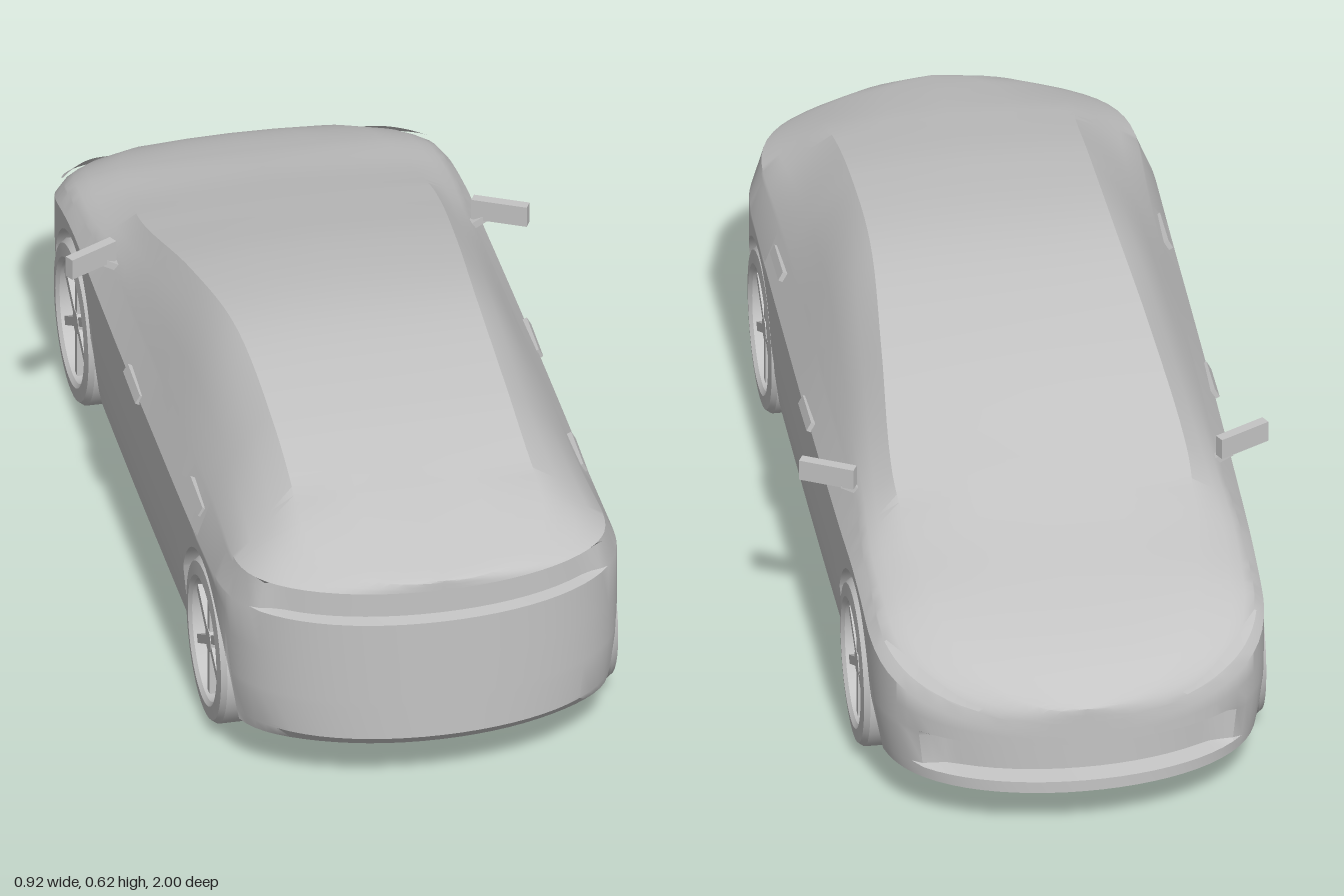
import * as THREE from 'three';
import { toCreasedNormals } from 'three/addons/utils/BufferGeometryUtils.js';

const paint = new THREE.MeshStandardMaterial({ color: 0xc4c4c4 });
paint.name = 'grey paint';
const thinPaint = paint.clone();
thinPaint.name = 'grey thin paint';
thinPaint.side = THREE.DoubleSide;

const WHEELS = [-0.58, 0.62], WHEEL_Y = 0.167, ARCH_R = 0.184, FLOOR = 0.1;
const NOSE = -1, TAIL = 0.995;

// z, centre height, then x,y of roof edge, pillar, belt line and shoulder
const SECTIONS = [
  [-1.0, 0.29, 0.25, 0.285, 0.32, 0.275, 0.37, 0.26, 0.39, 0.24],
  [-0.9, 0.352, 0.25, 0.345, 0.33, 0.33, 0.37, 0.31, 0.39, 0.285],
  [-0.75, 0.405, 0.26, 0.4, 0.325, 0.388, 0.37, 0.368, 0.39, 0.342],
  [-0.58, 0.45, 0.28, 0.437, 0.335, 0.417, 0.37, 0.397, 0.392, 0.37],
  [-0.4, 0.502, 0.29, 0.485, 0.325, 0.452, 0.36, 0.42, 0.395, 0.37],
  [-0.1, 0.58, 0.265, 0.567, 0.302, 0.525, 0.36, 0.432, 0.398, 0.37],
  [0.2, 0.619, 0.24, 0.612, 0.277, 0.582, 0.36, 0.44, 0.399, 0.37],
  [0.5, 0.595, 0.235, 0.587, 0.272, 0.555, 0.36, 0.44, 0.399, 0.37],
  [0.75, 0.545, 0.24, 0.532, 0.29, 0.502, 0.37, 0.442, 0.398, 0.378],
  [0.9, 0.507, 0.26, 0.487, 0.335, 0.468, 0.383, 0.453, 0.395, 0.385],
  [0.995, 0.478, 0.28, 0.474, 0.34, 0.467, 0.38, 0.457, 0.395, 0.385],
];

const lerp = THREE.MathUtils.lerp, smooth = THREE.MathUtils.smoothstep;

// smooth interpolation of one column of the section list
function sample(z, c) {
  const S = SECTIONS;
  let i = 0;
  while (i < S.length - 2 && z > S[i + 1][0]) i++;
  const slope = (a, b) => (S[b][c] - S[a][c]) / (S[b][0] - S[a][0]);
  const h = S[i + 1][0] - S[i][0], t = (z - S[i][0]) / h;
  const m0 = slope(Math.max(i - 1, 0), i + 1) * h;
  const m1 = slope(i, Math.min(i + 2, S.length - 1)) * h;
  const t2 = t * t, t3 = t2 * t;
  return (2 * t3 - 3 * t2 + 1) * S[i][c] + (t3 - 2 * t2 + t) * m0 +
    (3 * t2 - 2 * t3) * S[i + 1][c] + (t3 - t2) * m1;
}

// rounding of the plan towards nose and tail
function taper(z) {
  const t = z < 0 ? (-0.7 - z) / (-0.7 - NOSE) : (z - 0.7) / (TAIL - 0.7);
  return t <= 0 ? 1 : Math.sqrt(Math.max(0, 1 - Math.pow(Math.min(t, 1), 2.8)));
}

// lower edge of the body side, raised over the wheels
function archHeight(z) {
  let y = FLOOR;
  for (const w of WHEELS) {
    const d = ARCH_R ** 2 - (z - w) ** 2;
    if (d > 0) y = Math.max(y, WHEEL_Y + Math.sqrt(d));
  }
  return y;
}

// left half of a cross-section, from floor centre to roof centre
function halfSection(z) {
  const [top, eX, eY, mX, mY, bX, bY, sX, sY] = [1, 2, 3, 4, 5, 6, 7, 8, 9].map(c => sample(z, c));
  const k = taper(z), arch = archHeight(z);
  const intake = 0.04 * smooth(-z, 0.89, 0.95);
  const panel = -0.03 * smooth(z, 0.86, 0.92);
  const tuck = -0.025 * smooth(z, 0.8, 0.97);
  const pts = [];
  const add = (x, y, dz = 0) => pts.push(new THREE.Vector3(x * k, y, z + dz));
  add(0, FLOOR, tuck);
  add(0.262, FLOOR, tuck);
  add(0.262, arch, tuck);
  [[0.1, tuck], [0.125, 0], [0.13, intake], [0.195, intake], [0.21, 0], [(0.21 + sY) / 2, 0]].forEach(([y0, dz]) => {
    const y = arch + (y0 - FLOOR) * (sY - arch) / (sY - FLOOR);
    const inset = Math.max(0, (0.25 - y) / 0.15);
    add(sX - 0.017 * inset * inset, y, dz);
  });
  add(sX, sY);
  add(lerp(sX, bX, 0.04), lerp(sY, bY, 0.04), panel);
  add(lerp(sX, bX, 0.88), lerp(sY, bY, 0.88), panel);
  add(bX, bY);
  add(lerp(bX, mX, 0.5) + 0.004, lerp(bY, mY, 0.5));
  add(mX, mY);
  add(eX, eY);
  add(eX * 0.5, lerp(eY, top, 0.75));
  add(0, top);
  return pts;
}

function stations() {
  const zs = [];
  for (let i = 0; i <= 16; i++) {
    const d = 0.24 * (i / 16) ** 2;
    zs.push(NOSE + d, TAIL - d);
  }
  const half = Math.sqrt(ARCH_R ** 2 - (WHEEL_Y - FLOOR) ** 2);
  for (const w of WHEELS) for (let i = 0; i <= 20; i++) zs.push(w - half * Math.cos(Math.PI * i / 20));
  for (let z = -0.38; z < 0.43; z += 0.05) zs.push(z);
  return zs.sort((a, b) => a - b).filter((z, i, a) => i === 0 || z - a[i - 1] > 1e-5);
}

function bodyGeometry() {
  const rings = stations().map(z => {
    const h = halfSection(z);
    const mirrored = h.slice(1, -1).reverse().map(p => new THREE.Vector3(-p.x, p.y, p.z));
    return [...h, ...mirrored];
  });
  const n = rings[0].length, index = [];
  for (let i = 0; i < rings.length - 1; i++) for (let j = 0; j < n; j++) {
    const a = i * n + j, b = i * n + (j + 1) % n;
    index.push(a, b, b + n, a, b + n, a + n);
  }
  const g = new THREE.BufferGeometry().setFromPoints(rings.flat());
  g.setIndex(index);
  return toCreasedNormals(g, 0.5);
}

// swept lamp lens lying just above the front wing
function headlampGeometry(side) {
  const pts = [], index = [], N = 12;
  for (let i = 0; i <= N; i++) {
    const t = i / N, h = halfSection(lerp(-0.965, -0.8, t));
    const [belt, pillar] = [h[12], h[14]];
    const w = 0.1 + 0.6 * Math.sin(Math.PI * (0.15 + 0.85 * t));
    for (const f of [0, w]) {
      const p = belt.clone().lerp(pillar, f);
      pts.push(new THREE.Vector3(side * (p.x + 0.005), p.y + 0.006, p.z - 0.003));
    }
    if (i < N) index.push(2 * i, 2 * i + 1, 2 * i + 3, 2 * i, 2 * i + 3, 2 * i + 2);
  }
  if (side < 0) index.reverse();
  const g = new THREE.BufferGeometry().setFromPoints(pts);
  g.setIndex(index);
  g.computeVertexNormals();
  return g;
}

function mesh(name, geometry, parent, material = paint) {
  const m = new THREE.Mesh(geometry, material);
  m.name = name;
  parent.add(m);
  return m;
}

// wheel with its axle along x and its face towards +x
function makeWheel() {
  const wheel = new THREE.Group();
  wheel.name = 'wheel';
  const profile = [[0, 0.272], [0.152, 0.272], [0.165, 0.282], [0.165, 0.385], [0.157, 0.396],
    [0.13, 0.399], [0.122, 0.392], [0.117, 0.345], [0, 0.345]].map(p => new THREE.Vector2(...p));
  const tyre = toCreasedNormals(new THREE.LatheGeometry(profile, 40), 0.6).rotateZ(-Math.PI / 2);
  mesh('tyreAndRim', tyre, wheel);
  mesh('hub', new THREE.CylinderGeometry(0.024, 0.028, 0.045, 20).rotateZ(-Math.PI / 2), wheel).position.x = 0.365;
  for (let i = 0; i < 6; i++) {
    const spoke = new THREE.BoxGeometry(0.02, 0.102, 0.018).translate(0.376, 0.068, 0);
    mesh('spoke', spoke, wheel).rotation.x = i * Math.PI / 3;
  }
  return wheel;
}

export function createModel() {
  const car = new THREE.Group();
  car.name = 'car';
  mesh('body', bodyGeometry(), car);

  for (const side of [1, -1]) {
    for (const z of WHEELS) {
      const wheel = makeWheel();
      wheel.position.set(0, WHEEL_Y, z);
      if (side < 0) wheel.rotation.y = Math.PI;
      car.add(wheel);
    }

    // door mirrors on short stalks
    const mirror = mesh('mirror', new THREE.BoxGeometry(0.112, 0.044, 0.02), car);
    mirror.position.set(side * 0.408, 0.458, -0.345);
    mirror.rotation.y = -side * 0.48;
    const stalk = mesh('mirrorStalk', new THREE.BoxGeometry(0.04, 0.014, 0.018), car);
    stalk.position.set(side * 0.366, 0.432, -0.36);
    stalk.rotation.z = side * 0.5;

    // door handles
    for (const [x, y, z] of [[0.397, 0.374, -0.005], [0.379, 0.409, 0.48]]) {
      const handle = mesh('doorHandle', new THREE.BoxGeometry(0.012, 0.02, 0.11), car);
      handle.position.set(side * x, y, z);
      handle.rotation.z = side * 0.48;
      handle.rotation.x = 0.06;
    }

    mesh('headlamp', headlampGeometry(side), car, thinPaint);
  }
  return car;
}
